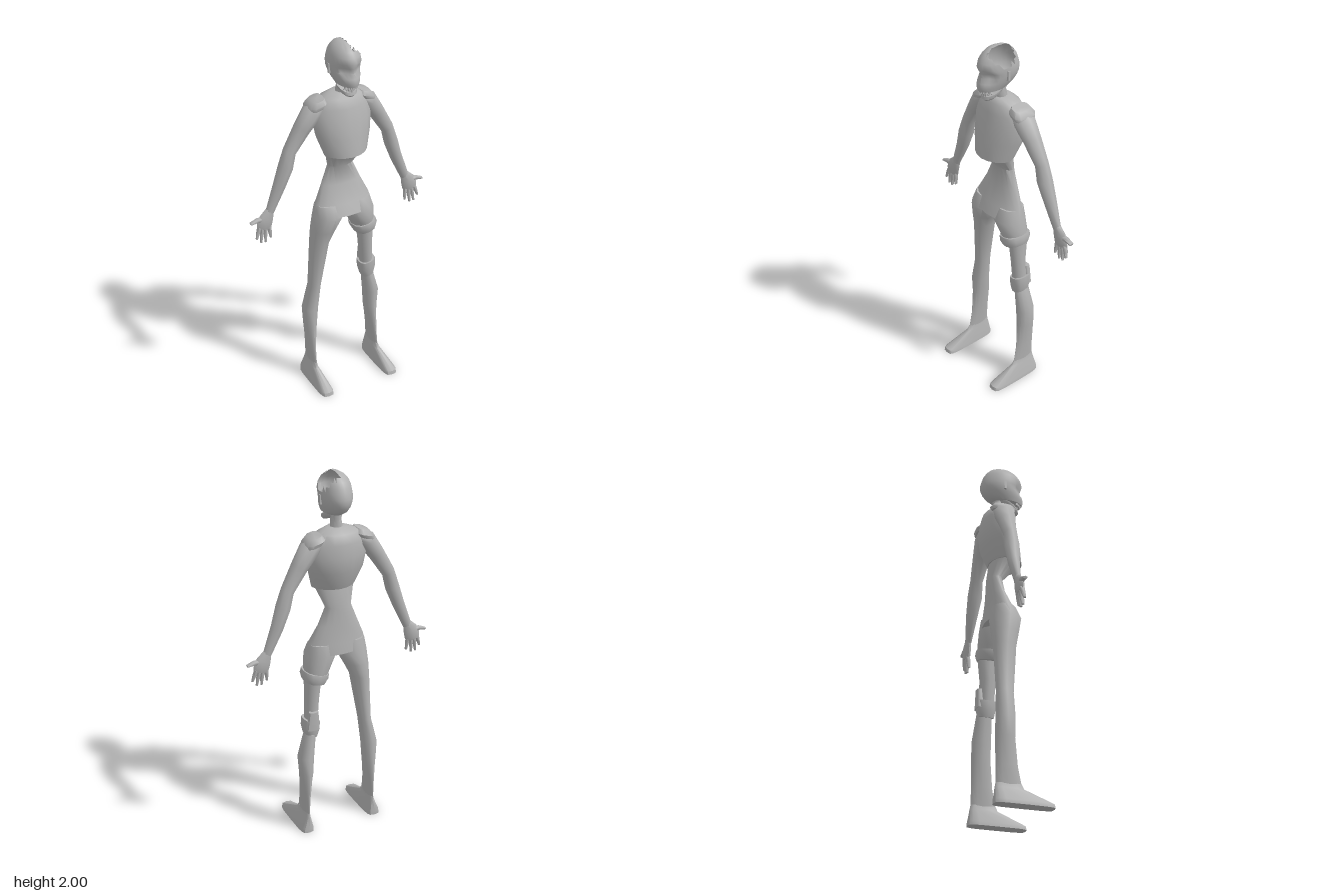
import * as THREE from 'three';
import { toCreasedNormals } from 'three/addons/utils/BufferGeometryUtils.js';

const grey = new THREE.MeshStandardMaterial({ color: 0xb2b2b2, side: THREE.DoubleSide });
grey.name = 'grey';

// Skins a list of point rings; skip(centroid) leaves faces out
function loft(name, rings, { crease = 0.9, skip } = {}) {
  const n = rings[0].length, pts = rings.flat(), index = [];
  const tri = (a, b, c) => {
    const m = new THREE.Vector3().add(pts[a]).add(pts[b]).add(pts[c]).divideScalar(3);
    if (!skip || !skip(m)) index.push(a, b, c);
  };
  for (let j = 0; j < rings.length - 1; j++) {
    for (let i = 0; i < n; i++) {
      const a = j * n + i, b = j * n + (i + 1) % n;
      tri(a, b, a + n);
      tri(b, b + n, a + n);
    }
  }
  const cap = (start, flip) => {
    const mid = new THREE.Vector3();
    for (let i = 0; i < n; i++) mid.addScaledVector(pts[start + i], 1 / n);
    pts.push(mid);
    for (let i = 0; i < n; i++) {
      const a = start + i, b = start + (i + 1) % n;
      if (flip) tri(pts.length - 1, b, a); else tri(pts.length - 1, a, b);
    }
  };
  cap(0, true);
  cap((rings.length - 1) * n, false);
  const geo = new THREE.BufferGeometry().setFromPoints(pts);
  geo.setIndex(index);
  const mesh = new THREE.Mesh(toCreasedNormals(geo, crease), grey);
  mesh.name = name;
  return mesh;
}

// Level cross-section [y, xMin, xMax, zBack, zFront]; p < 1 is boxier, p > 1 more pointed
const ring = ([y, x0, x1, z0, z1, p = 1], n, tiltX = 0, tiltZ = 0) =>
  Array.from({ length: n }, (_, i) => {
    const t = (i / n) * Math.PI * 2, c = Math.cos(t), s = Math.sin(t);
    const f = v => Math.abs(v) < 1e-9 ? 0 : Math.sign(v) * Math.abs(v) ** p;
    const dx = f(c) * (x1 - x0) / 2, dz = f(s) * (z1 - z0) / 2;
    return new THREE.Vector3((x0 + x1) / 2 + dx, y + tiltX * dx + tiltZ * dz, (z0 + z1) / 2 + dz);
  });

// Stack of level sections, listed from top to bottom
const stack = (name, sections, n = 12, tx = 0, tz = 0, opts) =>
  loft(name, sections.map(s => ring(s, n, tx, tz)), opts);

// Same, for one side of the body
const sideStack = (name, side, sections, n, tx = 0, tz = 0) =>
  stack(name, sections.map(([y, a, b, ...r]) => side > 0 ? [y, a, b, ...r] : [y, -b, -a, ...r]), n, tx * side, tz);

// Limb along a path of [x, y, z, halfWidth, halfDepth]
function limb(name, side, path, n = 8) {
  const p = path.map(([x, y, z]) => new THREE.Vector3(x * side, y, z));
  const rings = path.map(([, , , w, d], k) => {
    const dir = p[Math.min(k + 1, p.length - 1)].clone().sub(p[Math.max(k - 1, 0)]).setZ(0).normalize();
    return Array.from({ length: n }, (_, i) => {
      const t = (i / n) * Math.PI * 2, u = Math.cos(t) * w;
      return p[k].clone().add(new THREE.Vector3(-dir.y * u, dir.x * u, Math.sin(t) * d));
    });
  });
  return loft(name, rings, { crease: 1.1 });
}

function buildArm(side) {
  const arm = new THREE.Group();
  arm.name = side > 0 ? 'leftArm' : 'rightArm';
  arm.add(limb('armLimb', side, [
    [0.115, 1.665, -0.08, 0.035, 0.05], [0.16, 1.63, -0.08, 0.05, 0.062],
    [0.215, 1.55, -0.085, 0.043, 0.05], [0.285, 1.435, -0.09, 0.036, 0.036],
    [0.31, 1.35, -0.09, 0.04, 0.042], [0.348, 1.245, -0.095, 0.034, 0.033],
    [0.405, 1.11, -0.095, 0.025, 0.018]]));
  arm.add(limb('palm', side, [
    [0.4, 1.125, -0.095, 0.022, 0.017], [0.425, 1.08, -0.095, 0.042, 0.02],
    [0.437, 1.045, -0.095, 0.045, 0.02], [0.442, 1.02, -0.095, 0.04, 0.014]]));
  arm.add(limb('thumb', side, [
    [0.43, 1.075, -0.095, 0.02, 0.017], [0.475, 1.078, -0.095, 0.014, 0.015],
    [0.515, 1.068, -0.095, 0.007, 0.013]], 6));
  // Four fingers fanned below the palm
  [[0.467, 0.487, 0.972], [0.449, 0.463, 0.945], [0.431, 0.437, 0.943], [0.412, 0.406, 0.962]].forEach(([x0, x1, y]) => {
    arm.add(limb('finger', side, [
      [x0, 1.035, -0.095, 0.012, 0.014], [(x0 + x1) / 2, (1.035 + y) / 2, -0.092, 0.011, 0.012],
      [x1, y, -0.088, 0.006, 0.008]], 6));
  });
  // Shoulder pad
  arm.add(sideStack('shoulderPad', side, [
    [1.7, 0.1, 0.165, -0.13, -0.03, 0.7], [1.675, 0.085, 0.19, -0.15, -0.015, 0.7],
    [1.655, 0.1, 0.19, -0.145, -0.02, 0.7]], 10, -0.25));
  return arm;
}

const shin = [
  [0.45, 0.147, 0.233, -0.135, -0.03], [0.35, 0.155, 0.225, -0.138, -0.032],
  [0.2, 0.175, 0.213, -0.135, -0.02], [0.1, 0.183, 0.208, -0.135, 0]];

function buildFoot(side) {
  return sideStack('foot', side, [
    [0.11, 0.184, 0.207, -0.135, 0, 0.8], [0.085, 0.18, 0.212, -0.14, 0.012, 0.7],
    [0.02, 0.164, 0.24, -0.15, 0.162, 0.45], [0, 0.162, 0.242, -0.15, 0.166, 0.45]], 16);
}

function buildHead() {
  const head = new THREE.Group();
  head.name = 'head';
  // Half width, back and front of the skull, top to bottom
  const profile = [
    [2, 0.022, -0.08, -0.005], [1.985, 0.047, -0.112, 0.026], [1.965, 0.064, -0.132, 0.048],
    [1.94, 0.075, -0.148, 0.066], [1.91, 0.08, -0.158, 0.076], [1.885, 0.08, -0.165, 0.068],
    [1.86, 0.077, -0.164, 0.066], [1.835, 0.071, -0.155, 0.078], [1.81, 0.061, -0.135, 0.082],
    [1.79, 0.052, -0.1, 0.076]];
  const rings = profile.map(([y, w, b, f]) => ring([y, -w, w, b, f], 28));
  // Eye sockets pressed into the face
  for (const v of rings.flat()) {
    const d = Math.hypot(Math.abs(v.x) - 0.042, v.y - 1.872, v.z - 0.05);
    v.z -= 0.025 * Math.exp(-((d / 0.026) ** 2));
  }
  // Open break on the upper left of the skull
  const skip = m => m.x > 0.004 && Math.hypot((m.y - 1.985) / 0.072, (m.z + 0.038) / 0.072) < 1;
  head.add(loft('skull', rings, { crease: 1, skip }));
  head.add(stack('jaw', [
    [1.782, -0.052, 0.052, -0.075, 0.05], [1.765, -0.05, 0.05, -0.07, 0.054],
    [1.748, -0.036, 0.036, -0.05, 0.042]], 14, 0, -0.45));
  head.add(stack('neck', [
    [1.83, -0.032, 0.032, -0.1, -0.025], [1.76, -0.028, 0.028, -0.09, -0.025],
    [1.7, -0.038, 0.038, -0.1, -0.03]], 8));
  // Row of upper and lower teeth
  for (let i = -3; i <= 3; i++) {
    for (const [y, z] of [[1.785, 0.062], [1.762, 0.044]]) {
      const tooth = new THREE.Mesh(new THREE.BoxGeometry(0.009, 0.016, 0.01), grey);
      tooth.name = 'tooth';
      tooth.position.set(i * 0.0105, y, z - 0.0028 * i * i);
      head.add(tooth);
    }
  }
  for (const side of [1, -1]) {
    const ear = new THREE.Mesh(new THREE.BoxGeometry(0.012, 0.05, 0.014), grey);
    ear.name = 'ear';
    ear.position.set(side * 0.078, 1.867, -0.045);
    head.add(ear);
  }
  return head;
}

export function createModel() {
  const model = new THREE.Group();
  model.name = 'figure';
  model.add(buildHead());

  // Ridged rib cage
  model.add(stack('chest', [
    [1.725, -0.05, 0.05, -0.115, -0.02, 1], [1.7, -0.12, 0.12, -0.145, 0, 1],
    [1.65, -0.152, 0.152, -0.158, 0.018, 1.1], [1.58, -0.165, 0.165, -0.165, 0.038, 1.1],
    [1.5, -0.152, 0.152, -0.158, 0.055, 1.1], [1.4, -0.12, 0.12, -0.115, 0.068, 1.1]], 16));

  // Waist and hips
  model.add(stack('abdomen', [
    [1.405, -0.108, 0.108, -0.108, 0.05], [1.3, -0.072, 0.072, -0.122, -0.045],
    [1.2, -0.114, 0.114, -0.12, -0.035], [1.1, -0.16, 0.16, -0.13, 0.01],
    [1.04, -0.172, 0.172, -0.135, 0.035]], 16));

  for (const side of [1, -1]) {
    model.add(buildArm(side), buildFoot(side));
    const top = [
      [1.1, 0.015, 0.158, -0.125, 0.005], [1.035, 0, 0.174, -0.135, 0.036],
      [0.95, 0.045, 0.182, -0.135, 0.015]];
    if (side < 0) {
      // Complete right leg
      model.add(sideStack('rightLeg', side, [
        ...top, [0.87, 0.083, 0.185, -0.132, -0.005], [0.6, 0.13, 0.197, -0.125, -0.03], ...shin], 12));
    } else {
      // Left leg broken into thigh, inner thigh, knee and shin
      model.add(sideStack('leftThigh', side, [...top, [0.905, 0.065, 0.184, -0.13, 0.005]], 12));
      model.add(sideStack('thighCuff', side, [
        [0.94, 0.053, 0.188, -0.136, 0.018, 0.8], [0.915, 0.058, 0.195, -0.14, 0.022, 0.8],
        [0.885, 0.075, 0.188, -0.13, 0.01, 0.8]], 12, 0.2));
      model.add(sideStack('innerThigh', side, [
        [0.91, 0.095, 0.184, -0.125, -0.01], [0.78, 0.107, 0.183, -0.11, -0.022],
        [0.62, 0.12, 0.19, -0.11, -0.03]], 10));
      model.add(sideStack('kneeCuff', side, [
        [0.668, 0.11, 0.2, -0.125, -0.02, 0.75], [0.62, 0.113, 0.203, -0.125, -0.02, 0.75],
        [0.575, 0.125, 0.193, -0.115, -0.028, 0.75]], 12, 0.25));
      model.add(sideStack('kneeBackPlate', side, [
        [0.725, 0.128, 0.18, -0.125, -0.095, 0.6], [0.62, 0.12, 0.195, -0.127, -0.09, 0.6]], 10));
      model.add(sideStack('leftShin', side, [[0.59, 0.132, 0.193, -0.12, -0.035], ...shin], 12));
    }
  }
  return model;
}
